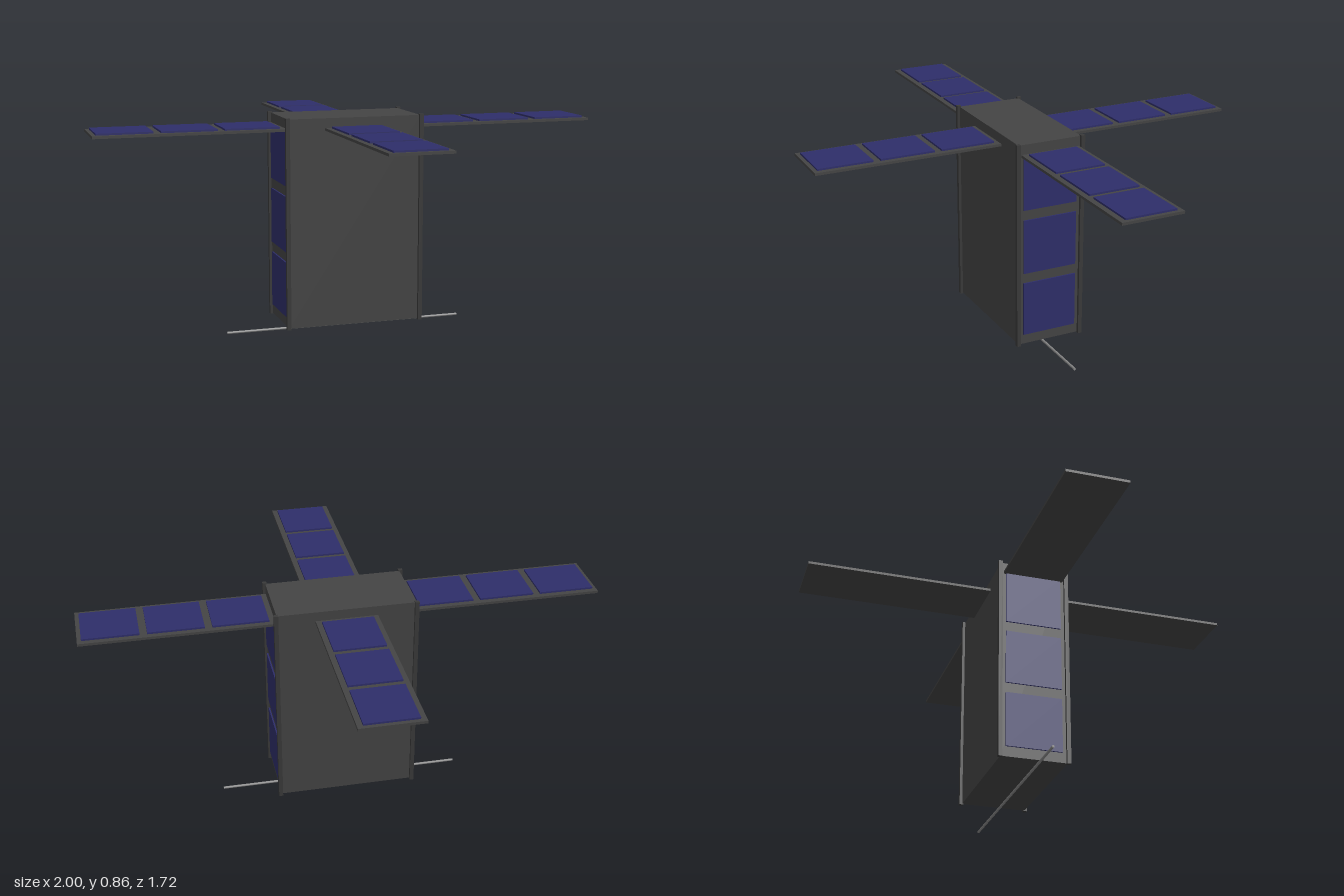
import * as THREE from 'three';

const frameMat = new THREE.MeshStandardMaterial({ color: 0x444444 });
const railMat = new THREE.MeshStandardMaterial({ color: 0x3a3a3a });
const cellMat = new THREE.MeshStandardMaterial({ color: 0x2e2e6a });
const rodMat = new THREE.MeshStandardMaterial({ color: 0x888888 });

function box(parent, name, mat, size, pos) {
  const mesh = new THREE.Mesh(new THREE.BoxGeometry(...size), mat);
  mesh.position.set(...pos);
  mesh.name = name;
  parent.add(mesh);
}

// Deployed panel running along +x from the body wall, with three cells on top
function makeWing(start) {
  const wing = new THREE.Group();
  wing.name = 'solarWing';
  const length = 0.732;
  box(wing, 'wingPanel', frameMat, [length, 0.01, 0.24], [start + length / 2, 0.813, 0]);
  for (let i = 0; i < 3; i++) {
    box(wing, 'wingCell', cellMat, [0.213, 0.007, 0.198], [start + 0.128 + i * 0.241, 0.8215, 0]);
  }
  return wing;
}

export function createModel() {
  const model = new THREE.Group();
  model.name = 'satellite';

  // Main body
  box(model, 'body', frameMat, [0.534, 0.817, 0.262], [0, 0.447, 0]);

  // Corner rails and side cells
  for (const sx of [-1, 1]) {
    for (const sz of [-1, 1]) {
      box(model, 'cornerRail', railMat, [0.016, 0.825, 0.016], [sx * 0.27, 0.4475, sz * 0.134]);
    }
    for (let i = 0; i < 3; i++) {
      box(model, 'sideCell', cellMat, [0.008, 0.218, 0.222], [sx * 0.269, 0.188 + i * 0.259, 0]);
    }
  }

  // Four wings in a cross
  for (let i = 0; i < 4; i++) {
    const wing = makeWing(i % 2 ? 0.13 : 0.268);
    wing.rotation.y = (i * Math.PI) / 2;
    model.add(wing);
  }

  // Thin antenna rod below the body
  const antenna = new THREE.Mesh(new THREE.CylinderGeometry(0.005, 0.005, 0.97, 12), rodMat);
  antenna.name = 'antenna';
  antenna.rotation.z = Math.PI / 2;
  antenna.position.y = 0.005;
  model.add(antenna);

  return model;
}
